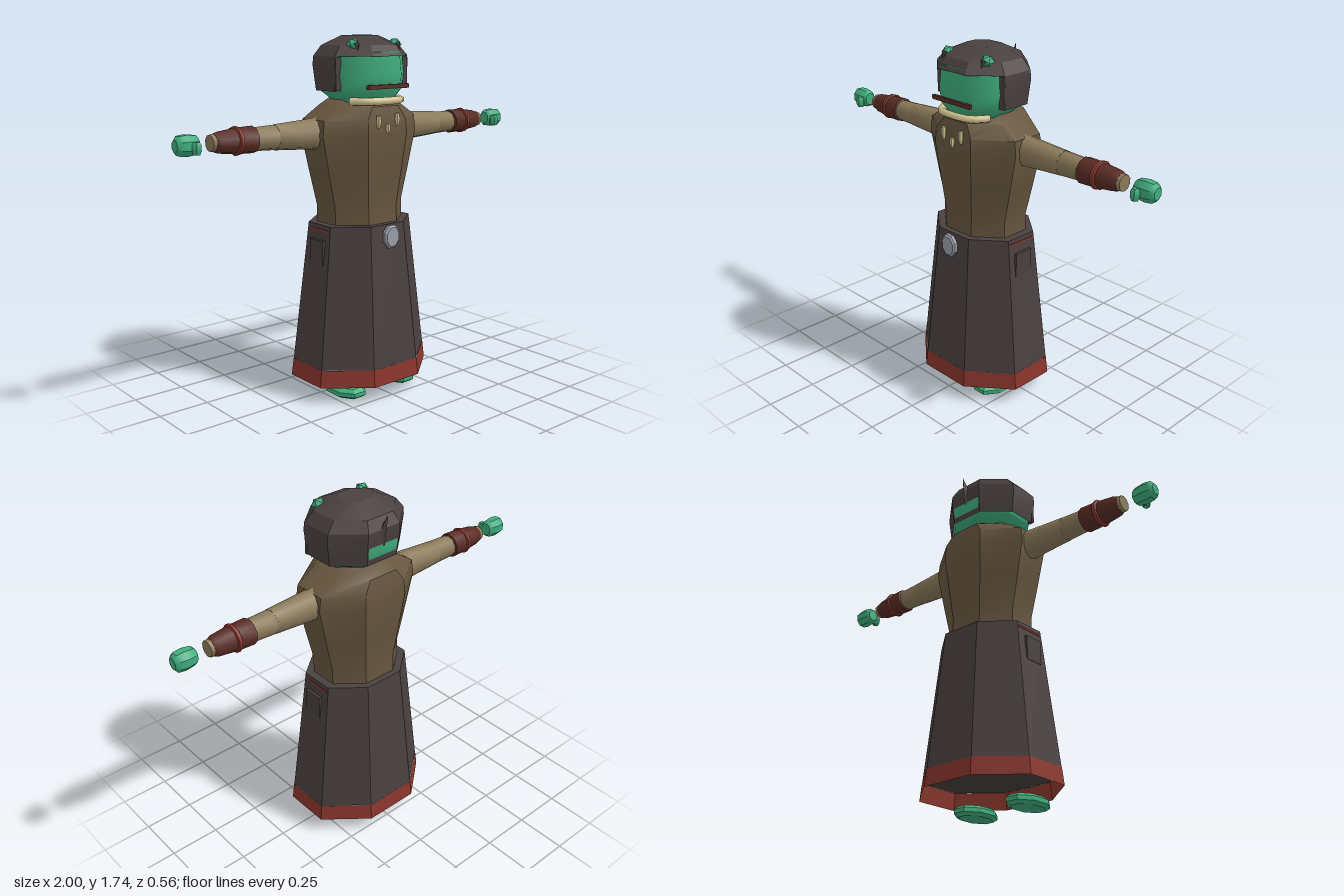
import * as THREE from 'three';
import { toCreasedNormals } from 'three/addons/utils/BufferGeometryUtils.js';

const mat = (name, color, side = THREE.FrontSide) => {
  const m = new THREE.MeshStandardMaterial({ color, side });
  m.name = name;
  return m;
};

// Skin over stretched polygon rings [y, halfX, halfZ, centreZ], bottom to top.
// Facets from..to-1 are kept; capped closes both ends.
function loft(rings, { n = 8, from = 0, to = n, capped = true, crease = 0.6 } = {}) {
  const pos = [], k = 1 / Math.cos(Math.PI / n);
  const pt = ([y, hx, hz, cz = 0], j) => {
    const t = (j + 0.5) * 2 * Math.PI / n;
    return [Math.sin(t) * hx * k, y, Math.cos(t) * hz * k + cz];
  };
  for (let j = from; j < to; j++) {
    for (let i = 0; i + 1 < rings.length; i++) {
      const a = pt(rings[i], j), b = pt(rings[i], j + 1);
      const c = pt(rings[i + 1], j + 1), d = pt(rings[i + 1], j);
      pos.push(...a, ...b, ...c, ...a, ...c, ...d);
    }
    if (capped) {
      const lo = rings[0], hi = rings[rings.length - 1];
      pos.push(0, lo[0], lo[3] ?? 0, ...pt(lo, j + 1), ...pt(lo, j));
      pos.push(0, hi[0], hi[3] ?? 0, ...pt(hi, j), ...pt(hi, j + 1));
    }
  }
  const g = new THREE.BufferGeometry();
  g.setAttribute('position', new THREE.Float32BufferAttribute(pos, 3));
  g.computeVertexNormals();
  return toCreasedNormals(g, crease);
}

export function createModel() {
  const model = new THREE.Group();
  const cloth = mat('dark cloth', 0x4a4040);
  const hoodCloth = mat('hood cloth', 0x4a4040, THREE.DoubleSide);
  const red = mat('red trim', 0x8a362d, THREE.DoubleSide);
  const tunic = mat('brown tunic', 0x67563f);
  const sleeve = mat('tan sleeve', 0x8c7b5b);
  const leather = mat('dark leather', 0x5a2c24);
  const skin = mat('green skin', 0x3fae7e);
  const bone = mat('bone', 0xd8ca96);
  const metal = mat('grey metal', 0x9c9fa8);

  const add = (name, geo, material, x = 0, y = 0, z = 0, parent = model) => {
    const m = new THREE.Mesh(geo, material);
    m.name = name;
    m.position.set(x, y, z);
    parent.add(m);
    return m;
  };
  const box = (w, h, d) => new THREE.BoxGeometry(w, h, d);

  // Skirt with an open red hem
  add('skirt', loft([[0.165, 0.331, 0.272], [0.85, 0.25, 0.205]]), cloth);
  add('hem', loft([[0.08, 0.342, 0.282], [0.165, 0.332, 0.273]], { capped: false }), red);

  // Tunic body
  add('tunic', loft([
    [0.84, 0.21, 0.175], [0.93, 0.21, 0.17], [1.1, 0.25, 0.187], [1.28, 0.29, 0.205],
    [1.35, 0.28, 0.2], [1.41, 0.19, 0.185], [1.45, 0.13, 0.115, -0.01],
  ]), tunic);

  // Belt buckle
  const buckle = add('buckle', loft([[-0.016, 0.036, 0.045], [-0.008, 0.045, 0.055],
    [0.008, 0.045, 0.055], [0.016, 0.036, 0.045]], { crease: 0.2 }), metal, 0, 0.795, 0.232);
  buckle.rotation.x = Math.PI / 2;

  // Collar and hanging teeth
  const collarPath = new THREE.CatmullRomCurve3([[-0.15, 0.11], [-0.1, 0.18], [0, 0.198],
    [0.1, 0.18], [0.15, 0.11]].map(([x, z]) => new THREE.Vector3(x, 1.435, z)));
  add('collar', new THREE.TubeGeometry(collarPath, 12, 0.018, 6), bone);
  for (const [x, y, h] of [[-0.058, 1.34, 0.06], [0, 1.307, 0.045], [0.058, 1.345, 0.06]]) {
    add('tooth', loft([[-h / 2, 0.006, 0.006], [0, 0.012, 0.011], [h / 2, 0.01, 0.009]],
      { n: 6 }), bone, x, y, 0.206);
  }

  // Head and mouth
  add('head', loft([[1.43, 0.14, 0.13, 0.03], [1.48, 0.19, 0.185, 0.012],
    [1.55, 0.202, 0.195, 0.01], [1.66, 0.19, 0.185, 0.01]], { crease: 0.9 }), skin);
  add('mouth', box(0.25, 0.02, 0.016), leather, 0, 1.502, 0.205);

  // Hood: closed dome, and sides left open round the face
  add('hoodDome', loft([[1.64, 0.223, 0.198, 0.01], [1.69, 0.182, 0.165, 0.005],
    [1.735, 0.085, 0.07]], { crease: 0.4 }), hoodCloth);
  add('hoodSides', loft([[1.48, 0.212, 0.185, 0.01], [1.6, 0.228, 0.197, 0.01],
    [1.64, 0.223, 0.198, 0.01]], { from: 1, to: 6, capped: false }), hoodCloth);
  const fin = new THREE.ConeGeometry(0.035, 0.15, 4);
  fin.rotateX(-0.35);
  add('hoodPoint', fin, cloth, 0, 1.638, -0.183);

  for (const s of [1, -1]) {
    const side = new THREE.Group();
    side.name = s > 0 ? 'leftSide' : 'rightSide';
    model.add(side);
    const put = (name, geo, m, x, y, z) => add(name, geo, m, s * x, y, z, side);

    // Hood edge beside the face
    put('hoodEdge', box(0.03, 0.15, 0.014), cloth, 0.206, 1.56, 0.087);

    // Bumps on the hood
    const bump = put('browBump', new THREE.IcosahedronGeometry(0.034, 0), skin, 0.128, 1.69, 0.105);
    bump.material = skin;
    const horn = put('browPoint', new THREE.ConeGeometry(0.016, 0.04, 4), cloth, 0.128, 1.68, 0.137);
    horn.rotation.x = Math.PI - 0.5;

    // Pocket and belt tab on the skirt
    put('pocket', box(0.014, 0.12, 0.1), cloth, 0.268, 0.72, 0.005);
    put('beltTab', box(0.008, 0.01, 0.15), red, 0.252, 0.825, 0);

    // Arm pieces are lofted upright, then laid out sideways
    const limb = (name, rings, m, n = 10) => {
      const g = loft(rings, { n, crease: 0.7 });
      g.rotateZ(-s * Math.PI / 2);
      return add(name, g, m, 0, 1.285, -0.006, side);
    };
    limb('upperArm', [[0.2, 0.085, 0.068], [0.29, 0.069, 0.064], [0.4, 0.062, 0.058],
      [0.5, 0.056, 0.054]], sleeve);
    limb('forearm', [[0.49, 0.055, 0.054], [0.62, 0.05, 0.05], [0.832, 0.036, 0.036]], sleeve);
    limb('cuff', [[0.61, 0.05, 0.05], [0.615, 0.058, 0.06], [0.7, 0.056, 0.057],
      [0.795, 0.045, 0.047], [0.815, 0.038, 0.038]], leather);
    limb('cuffRing', [[0.69, 0.055, 0.056], [0.695, 0.062, 0.064],
      [0.71, 0.062, 0.064], [0.715, 0.053, 0.054]], red);

    // Hand and thumb
    limb('hand', [[0.893, 0.03, 0.027], [0.905, 0.041, 0.036], [0.95, 0.046, 0.043],
      [0.985, 0.042, 0.038], [1, 0.026, 0.024]], skin, 8);
    put('thumb', loft([[-0.028, 0.013, 0.015], [-0.01, 0.019, 0.022], [0.015, 0.019, 0.022],
      [0.026, 0.013, 0.015]], { n: 6 }), skin, 0.92, 1.275, 0.037);

    // Foot
    put('foot', loft([[0, 0.06, 0.095], [0.014, 0.08, 0.115], [0.034, 0.08, 0.115],
      [0.05, 0.06, 0.095]], { crease: 0.3 }), skin, 0.16, 0, 0.08);
  }
  return model;
}
